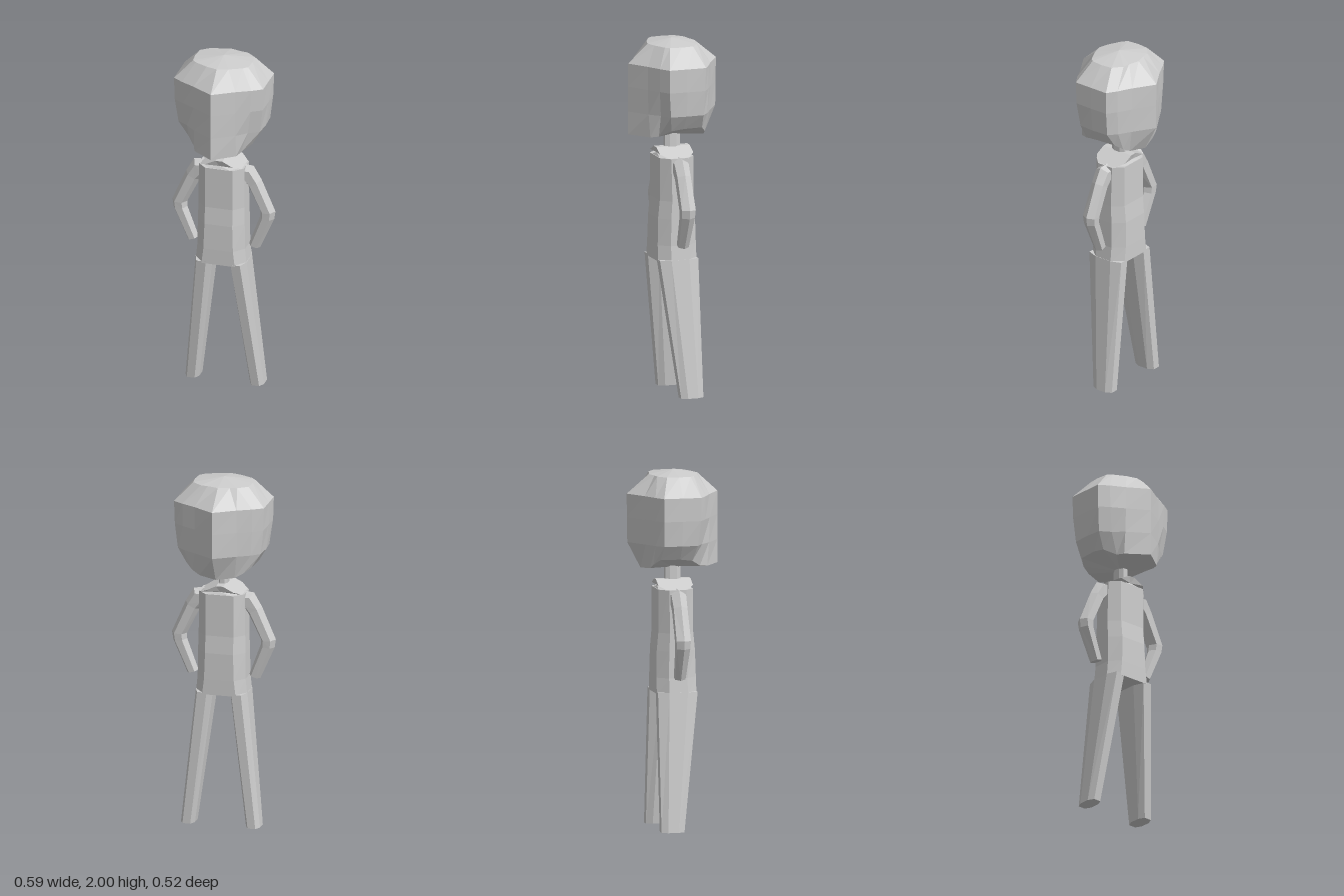
import * as THREE from 'three';

const grey = new THREE.MeshStandardMaterial({ color: 0xcccccc });
grey.name = 'plain grey';

// Joins rings of [x, y, z] points into a closed, faceted solid; first and last rings are fanned to a centre.
function loft(name, rings, startCentre, endCentre) {
  const mean = (ring) => [0, 1, 2].map((k) => ring.reduce((s, p) => s + p[k], 0) / ring.length);
  const last = rings[rings.length - 1];
  const a = startCentre || mean(rings[0]);
  const b = endCentre || mean(last);
  const tris = [];
  const n = rings[0].length;
  for (let i = 0; i < n; i++) {
    const j = (i + 1) % n;
    tris.push([a, rings[0][j], rings[0][i]], [b, last[i], last[j]]);
    for (let r = 0; r + 1 < rings.length; r++) {
      const p = rings[r], q = rings[r + 1];
      tris.push([p[i], p[j], q[j]], [p[i], q[j], q[i]]);
    }
  }
  // Turn the faces outward whichever way the rings run
  const v = (p) => new THREE.Vector3(...p);
  const volume = tris.reduce((s, t) => s + v(t[0]).dot(v(t[1]).cross(v(t[2]))), 0);
  if (volume < 0) tris.forEach((t) => t.reverse());
  const geometry = new THREE.BufferGeometry();
  geometry.setAttribute('position', new THREE.Float32BufferAttribute(tris.flat(2), 3));
  geometry.computeVertexNormals();
  const mesh = new THREE.Mesh(geometry, grey);
  mesh.name = name;
  return mesh;
}

// Completes a half ring running from front centre to back centre
const mirrorRing = (half) => [
  ...half,
  ...half.slice(1, -1).reverse().map(([x, y, z]) => [-x, y, z]),
];

// Eight-sided level ring with cut corners: half width, front and back z, corner cuts
function octagon(cx, y, w, front, back, cutX, cutZ) {
  const i = w - cutX;
  return [
    [cx + i, y, front], [cx + w, y, front - cutZ], [cx + w, y, back + cutZ], [cx + i, y, back],
    [cx - i, y, back], [cx - w, y, back + cutZ], [cx - w, y, front - cutZ], [cx - i, y, front],
  ];
}

function makeHead() {
  const level = (y, pts) => pts.map(([x, z]) => [x, y, z]);
  const jaw = [
    [0, 1.47, 0.257], [0.12, 1.47, 0.17], [0.135, 1.475, 0.125], [0.185, 1.51, 0.07], [0.192, 1.52, 0],
    [0.185, 1.52, -0.11], [0.145, 1.49, -0.14], [0.1, 1.465, -0.15], [0, 1.455, -0.18],
  ];
  const cheek = level(1.6, [
    [0, 0.257], [0.12, 0.18], [0.175, 0.128], [0.235, 0.09], [0.242, 0],
    [0.237, -0.1], [0.19, -0.14], [0.12, -0.18], [0, -0.255],
  ]);
  const middle = level(1.74, [
    [0, 0.257], [0.12, 0.185], [0.195, 0.141], [0.253, 0.104], [0.255, 0],
    [0.253, -0.105], [0.198, -0.143], [0.12, -0.185], [0, -0.257],
  ]);
  const brow = level(1.87, [
    [0, 0.257], [0.12, 0.183], [0.2, 0.142], [0.257, 0.105], [0.257, 0],
    [0.257, -0.107], [0.2, -0.143], [0.12, -0.184], [0, -0.259],
  ]);
  const crown = level(1.975, [
    [0, 0.143], [0.063, 0.126], [0.135, 0.09], [0.158, 0.067], [0.165, 0],
    [0.158, -0.067], [0.105, -0.11], [0.063, -0.116], [0, -0.133],
  ]);
  const rings = [jaw, cheek, middle, brow, crown].map(mirrorRing);
  return loft('head', rings, [0, 1.455, 0], [0, 2, 0.005]);
}

function makeTorso() {
  return loft('torso', [
    octagon(0, 0.76, 0.146, 0.115, -0.11, 0.05, 0.06),
    octagon(0, 0.85, 0.137, 0.114, -0.11, 0.052, 0.06),
    octagon(0, 1.0, 0.135, 0.11, -0.107, 0.055, 0.058),
    octagon(0, 1.1, 0.133, 0.1, -0.098, 0.053, 0.055),
    octagon(0, 1.34, 0.13, 0.1, -0.098, 0.05, 0.05),
  ]);
}

// Shallow roof that slopes from the neck down to the shoulders
function makeShoulders() {
  const slice = (z) => [
    [-0.13, 1.335, z * 0.5], [-0.08, 1.36, z], [-0.02, 1.39, z],
    [0.02, 1.39, z], [0.08, 1.36, z], [0.13, 1.335, z * 0.5], [0.08, 1.335, z], [-0.08, 1.335, z],
  ];
  return loft('shoulders', [slice(0.099), slice(-0.097)]);
}

function makeArm(side) {
  // x, y, radius in the front plane, radius in depth, tilt of the ring
  const path = [
    [0.07, 1.29, 0.06, 0.05, 1.5],
    [0.14, 1.295, 0.055, 0.048, 0.95],
    [0.178, 1.24, 0.045, 0.045, 0.5],
    [0.254, 1.075, 0.043, 0.047, 0.05],
    [0.25, 1.035, 0.04, 0.044, -0.15],
    [0.177, 0.855, 0.033, 0.034, -0.3],
  ];
  const rings = path.map(([x, y, r, d, tilt]) => Array.from({ length: 6 }, (_, i) => {
    const a = (i * Math.PI) / 3;
    const u = Math.cos(a) * r;
    return [side * (x + u * Math.cos(tilt)), y + u * Math.sin(tilt), Math.sin(a) * d];
  }));
  return loft(side > 0 ? 'leftArm' : 'rightArm', rings);
}

function makeLeg(side) {
  return loft(side > 0 ? 'leftLeg' : 'rightLeg', [
    octagon(side * 0.186, 0, 0.04, 0.02, -0.11, 0.018, 0.035),
    octagon(side * 0.098, 0.77, 0.049, 0.115, -0.11, 0.022, 0.06),
  ]);
}

export function createModel() {
  const model = new THREE.Group();
  model.name = 'figure';
  const neck = loft('neck', [
    octagon(0, 1.37, 0.025, 0.045, -0.042, 0.012, 0.025),
    octagon(0, 1.48, 0.025, 0.045, -0.042, 0.012, 0.025),
  ]);
  model.add(makeHead(), neck, makeShoulders(), makeTorso());
  for (const side of [1, -1]) model.add(makeArm(side), makeLeg(side));
  return model;
}
